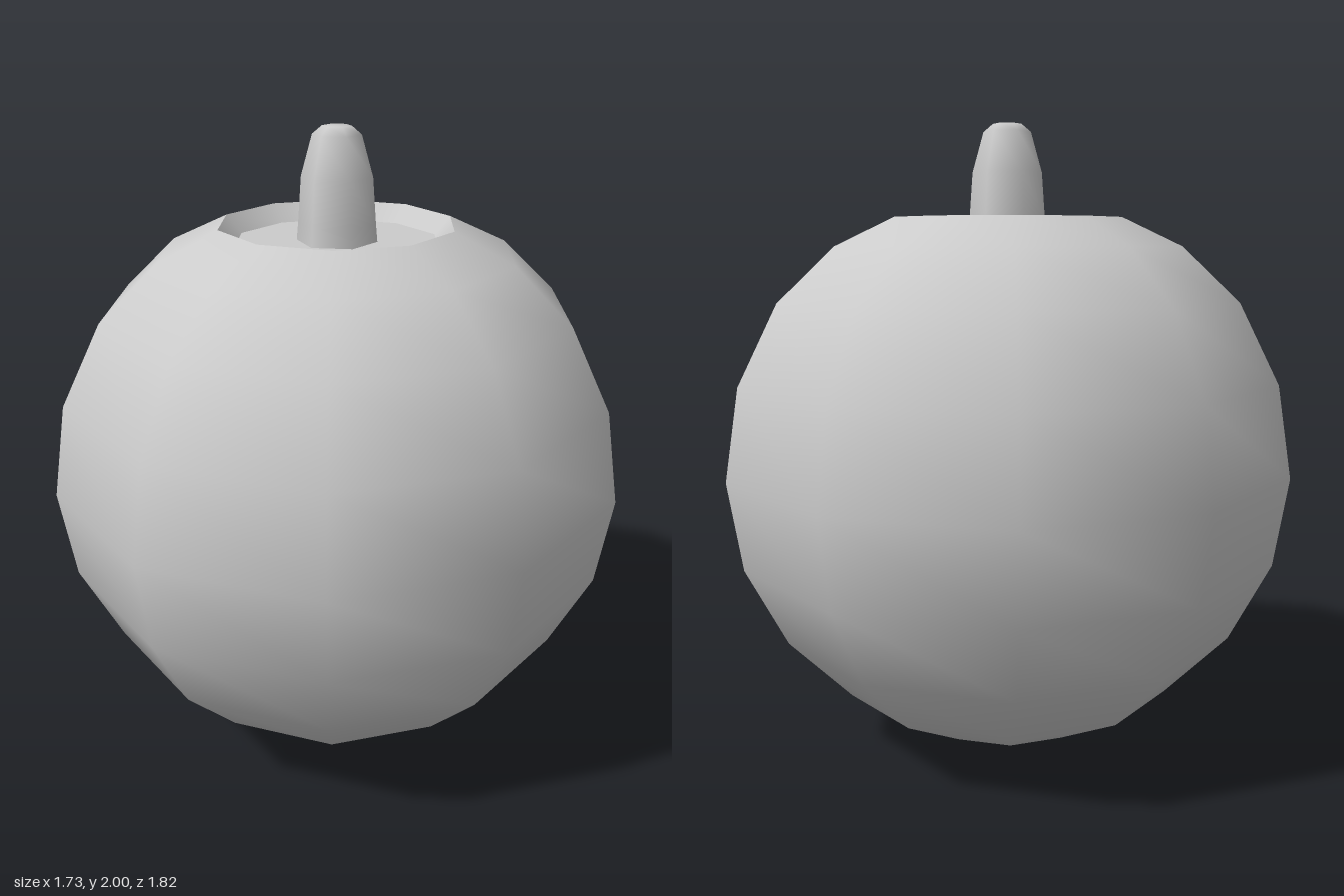
import * as THREE from 'three';

const material = new THREE.MeshStandardMaterial({ color: 0xcccccc });

// Revolve a bottom-to-top [radius, height] profile, first corner on +z
function turned(name, profile, sides) {
  const points = profile.map(([r, y]) => new THREE.Vector2(r, y));
  const mesh = new THREE.Mesh(new THREE.LatheGeometry(points, sides), material);
  mesh.name = name;
  return mesh;
}

export function createModel() {
  const group = new THREE.Group();
  group.name = 'roundFruit';

  // Low-poly ball, cut open at the top
  const body = [[0, 0], [0.28, 0.05], [0.535, 0.18], [0.735, 0.38], [0.865, 0.63],
    [0.91, 0.91], [0.865, 1.2], [0.74, 1.45], [0.56, 1.62], [0.37, 1.71]];
  group.add(turned('body', body, 10));

  // Shallow hollow around the stem
  group.add(turned('hollowWall', [[0.37, 1.71], [0.32, 1.655]], 10));
  group.add(turned('hollowFloor', [[0.32, 1.655], [0, 1.655]], 10));

  // Tapered six-sided stem with a rounded tip
  const stem = [[0.125, 1.655], [0.12, 1.71], [0.11, 1.85], [0.075, 1.975], [0.045, 2], [0, 2]];
  group.add(turned('stem', stem, 6));

  return group;
}
